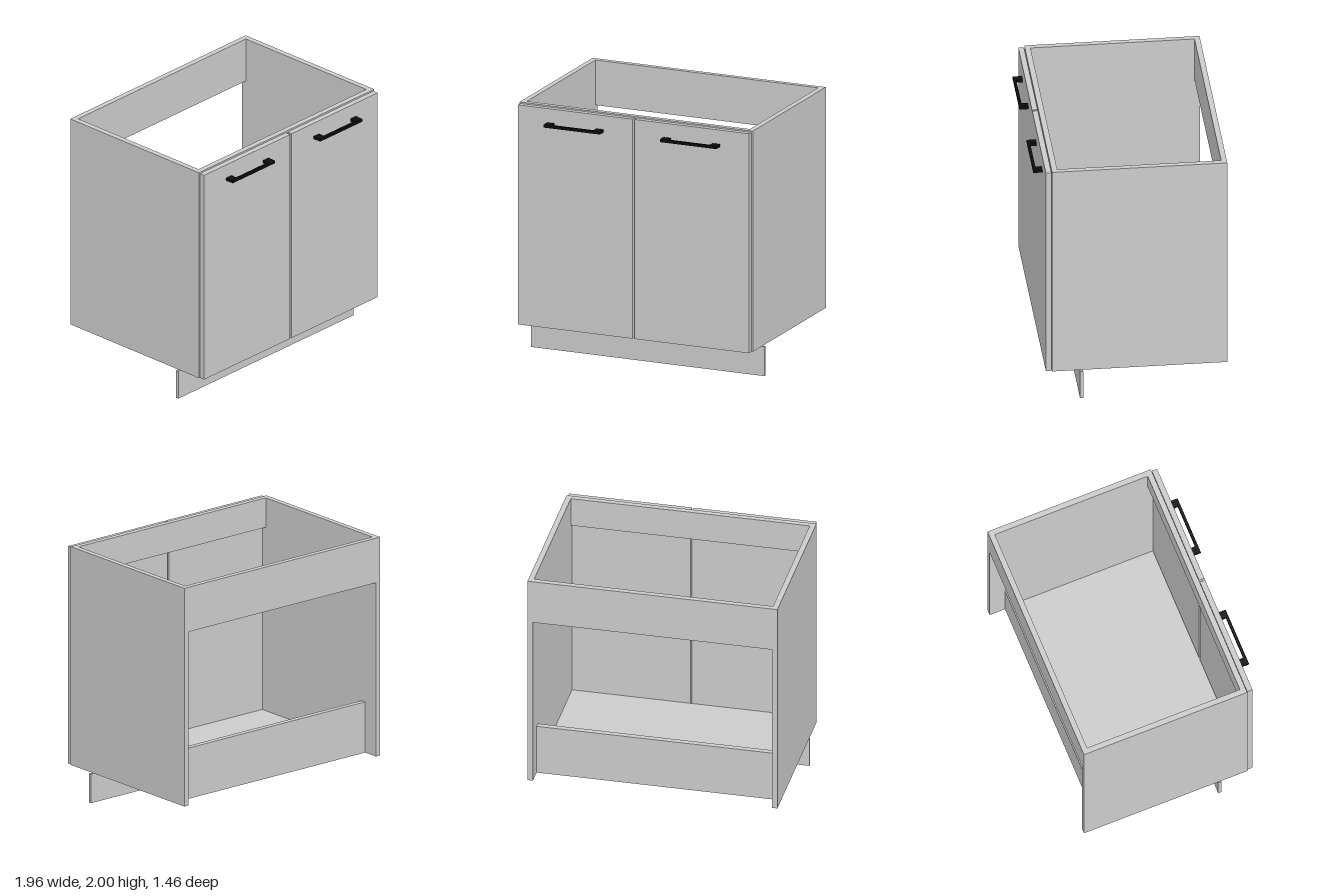
import * as THREE from 'three';

const grey = new THREE.MeshStandardMaterial({ color: 0xcccccc });
const black = new THREE.MeshStandardMaterial({ color: 0x0c0c0c });

// Box given by its extents along each axis
function board(name, [x0, x1], [y0, y1], [z0, z1], material = grey) {
  const mesh = new THREE.Mesh(new THREE.BoxGeometry(x1 - x0, y1 - y0, z1 - z0), material);
  mesh.position.set((x0 + x1) / 2, (y0 + y1) / 2, (z0 + z1) / 2);
  mesh.name = name;
  return mesh;
}

export function createModel() {
  const group = new THREE.Group();
  group.name = 'baseCabinet';

  const W = 0.978;         // half width
  const T = 0.043;         // board thickness
  const base = 0.248;      // underside of the carcass
  const back = -0.731, front = 0.614;
  const inner = [-W + T, W - T];

  // Carcass: floor, rails and the low service panel, all between the sides
  group.add(
    board('bottomPanel', inner, [base, base + T], [-0.604 + T, front]),
    board('lowerBackPanel', inner, [base, 0.655], [-0.604, -0.604 + T]),
    board('upperBackRail', inner, [1.642, 2], [back, back + T]),
    board('upperFrontRail', inner, [1.764, 2], [front - T, front]),
    board('plinth', [-W, W], [0, 0.232], [0.375, 0.4]),
  );

  for (const s of [1, -1]) {
    const side = s > 0 ? 'left' : 'right';
    const span = (a, b) => (s > 0 ? [a, b] : [-b, -a]);

    group.add(
      board(side + 'SidePanel', span(W - T, W), [base, 2], [back, front]),
      board(side + 'Door', span(0.008, 0.968), [base, 1.99], [0.618, 0.661]),
    );

    // Bar handle on two feet
    const handle = new THREE.Group();
    handle.name = side + 'Handle';
    const hy = [1.857, 1.879];
    handle.add(
      board('handleBar', span(0.252, 0.724), hy, [0.709, 0.731], black),
      board('innerFoot', span(0.252, 0.312), hy, [0.661, 0.709], black),
      board('outerFoot', span(0.664, 0.724), hy, [0.661, 0.709], black),
    );
    group.add(handle);
  }
  return group;
}
